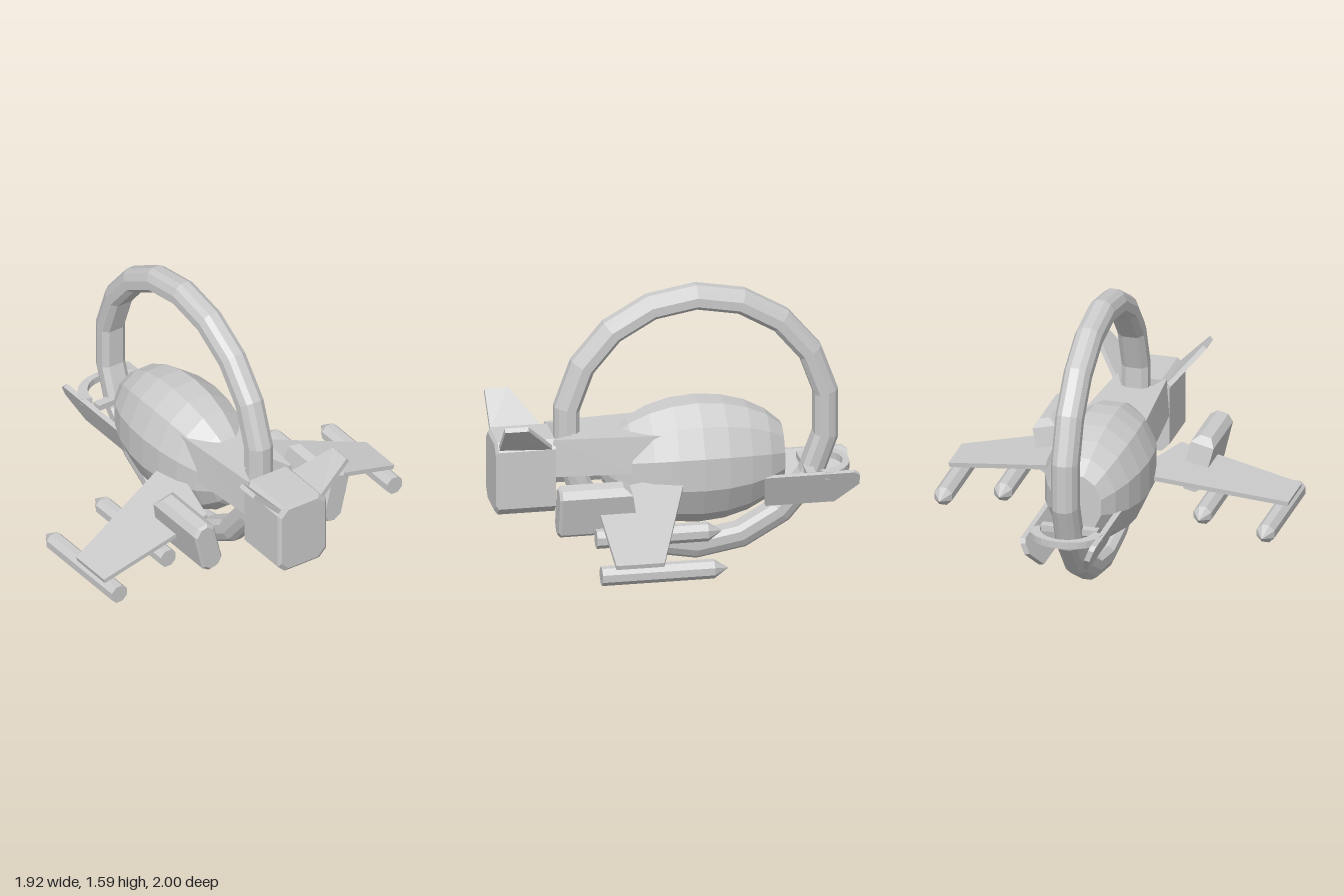
import * as THREE from 'three';
import { ConvexGeometry } from 'three/addons/geometries/ConvexGeometry.js';

export function createModel() {
  const model = new THREE.Group();
  const mat = new THREE.MeshStandardMaterial({ color: 0xcccccc, flatShading: true, side: THREE.DoubleSide });
  const V = (x, y, z) => new THREE.Vector3(x, y, z);
  const add = (name, geo) => {
    const mesh = new THREE.Mesh(geo, mat);
    mesh.name = name;
    model.add(mesh);
    return mesh;
  };
  // convex solid from points; s = -1 mirrors it to the other side
  const hull = (name, pts, s = 1) => add(name, new ConvexGeometry(pts.map(p => V(p.x * s, p.y, p.z))));
  // flat plate: outline swept by a thickness vector
  const plate = (name, pts, t, s) => hull(name, [...pts, ...pts.map(p => p.clone().add(t))], s);
  // horizontal plate drawn as [x, z] points between two heights
  const floorPlate = (pts, y0, y1) => {
    const shape = new THREE.Shape(pts.map(([x, z]) => new THREE.Vector2(x, -z)));
    const g = new THREE.ExtrudeGeometry(shape, { depth: y1 - y0, bevelEnabled: false });
    return g.rotateX(-Math.PI / 2).translate(0, y0, 0);
  };
  // rectangle section with cut corners
  const cutRect = (w, h, c) => [[w, h - c], [w - c, h], [c - w, h], [-w, h - c],
    [-w, c - h], [c - w, -h], [w - c, -h], [w, c - h]];

  // big upright ring
  const section = [[0.66, 0.045], [0.66, -0.045], [0.685, -0.075], [0.735, -0.075], [0.775, -0.055], [0.795, -0.025],
    [0.795, 0.025], [0.775, 0.055], [0.735, 0.075], [0.685, 0.075], [0.66, 0.045]];
  const ring = new THREE.LatheGeometry(section.map(p => new THREE.Vector2(...p)), 18, Math.PI / 2);
  add('ring', ring.rotateZ(Math.PI / 2).translate(0, 0.805, -0.13));

  // egg-shaped hull with a flat rear end
  const egg = [new THREE.Vector2(0, -0.47)];
  for (let i = 0; i <= 10; i++) {
    const z = -0.54 * Math.cos(0.515 + (Math.PI - 0.515) * i / 10);
    egg.push(new THREE.Vector2(Math.sqrt(Math.max(0, 1 - (z / 0.54) ** 2)) / Math.cos(Math.PI / 12), z));
  }
  const eggGeo = new THREE.LatheGeometry(egg, 12, Math.PI / 12);
  add('hull', eggGeo.rotateX(Math.PI / 2).scale(0.275, 0.345, 1).translate(0, 0.585, -0.13));

  // boom from hull to nose block, slotted around the ring
  const boom = floorPlate([[0.225, -0.1], [0.195, 0.25], [0.158, 0.68], [0.13, 0.68], [0.09, 0.57],
    [-0.09, 0.57], [-0.13, 0.68], [-0.158, 0.68], [-0.195, 0.25], [-0.225, -0.1]], 0.59, 0.8);
  const bp = boom.attributes.position;
  for (let i = 0; i < bp.count; i++) {
    if (bp.getY(i) > 0.7 && Math.abs(bp.getX(i)) > 0.14) bp.setX(i, bp.getX(i) * 0.9);
  }
  boom.computeVertexNormals();
  add('boom', boom);

  // nose block with a bevelled front rim
  const block = [];
  for (const [z, inset] of [[0.67, 0], [0.985, 0], [1, 0.018]]) {
    for (const [x, y] of cutRect(0.16 - inset, 0.21 - inset, 0.045)) block.push(V(x, 0.587 + y, z));
  }
  hull('noseBlock', block);

  // arch and cross strut around the ring at the rear
  const arch = [];
  for (let i = 0; i <= 12; i++) {
    const a = Math.PI * i / 12;
    arch.push([0.205 * Math.cos(a), -0.81 - 0.165 * Math.sin(a)]);
  }
  for (let i = 12; i >= 0; i--) {
    const a = Math.PI * i / 12;
    arch.push([0.15 * Math.cos(a), -0.79 - 0.15 * Math.sin(a)]);
  }
  add('rearArch', floorPlate(arch, 0.485, 0.525));
  add('rearStrut', new THREE.BoxGeometry(0.32, 0.035, 0.05).translate(0, 0.5, -0.74));

  for (const s of [1, -1]) {
    const wy = x => 0.54 - 0.24 * (x - 0.24);
    // swept, drooping wing
    plate('wing', [[0.2, 0.15], [0.24, -0.02], [0.96, 0.22], [0.96, 0.485], [0.28, 0.485]]
      .map(([x, z]) => V(x, wy(x), z)), V(-0.006, -0.025, 0), s);

    // slanted tail fin
    plate('fin', [V(0.13, 0.76, 0.68), V(0.3, 0.95, 0.85), V(0.3, 0.95, 0.98), V(0.13, 0.78, 0.98)],
      V(0.018, -0.02, 0), s);

    // rear prong, leaning outward
    plate('prong', [[0.52, -0.47], [0.52, -0.97], [0.5, -1], [0.44, -1], [0.33, -0.87], [0.33, -0.49]]
      .map(([y, z]) => V(0.215 - 0.4 * (0.52 - y), y, z)), V(-0.03, 0.005, 0), s);

    // engine pod, square to the wing, with a sloped far end and rimmed mouth
    const pod = [];
    const tilt = V(0, 0, 1);
    for (const [z, inset, slope] of [[0.27, 0, 1], [0.695, 0, 0], [0.71, 0.012, 0]]) {
      for (const [x, y] of cutRect(0.066 - inset, 0.15 - inset, 0.035)) {
        const dz = slope * Math.max(0, y - 0.085) * 1.3;
        pod.push(V(x, y, z + dz).applyAxisAngle(tilt, -0.235).add(V(0.42, 0.492, 0)));
      }
    }
    hull('enginePod', pod, s);

    // missiles and their short pylons
    for (const [x, y, tip, tail] of [[0.91, 0.295, -0.14, 0.56], [0.563, 0.375, -0.17, 0.525]]) {
      const len = tail - tip - 0.08;
      const body = new THREE.CylinderGeometry(0.054, 0.054, len, 8, 1, false, Math.PI / 8);
      add('missileBody', body.rotateX(Math.PI / 2).translate(s * x, y, tail - len / 2));
      const cone = new THREE.ConeGeometry(0.054, 0.08, 8, 1, false, Math.PI / 8);
      add('missileTip', cone.rotateX(-Math.PI / 2).translate(s * x, y, tip + 0.04));
      const pylon = new THREE.BoxGeometry(0.035, 0.07, 0.2);
      add('pylon', pylon.translate(s * (x + 0.012), y + 0.04, 0.35));
    }
  }
  return model;
}
